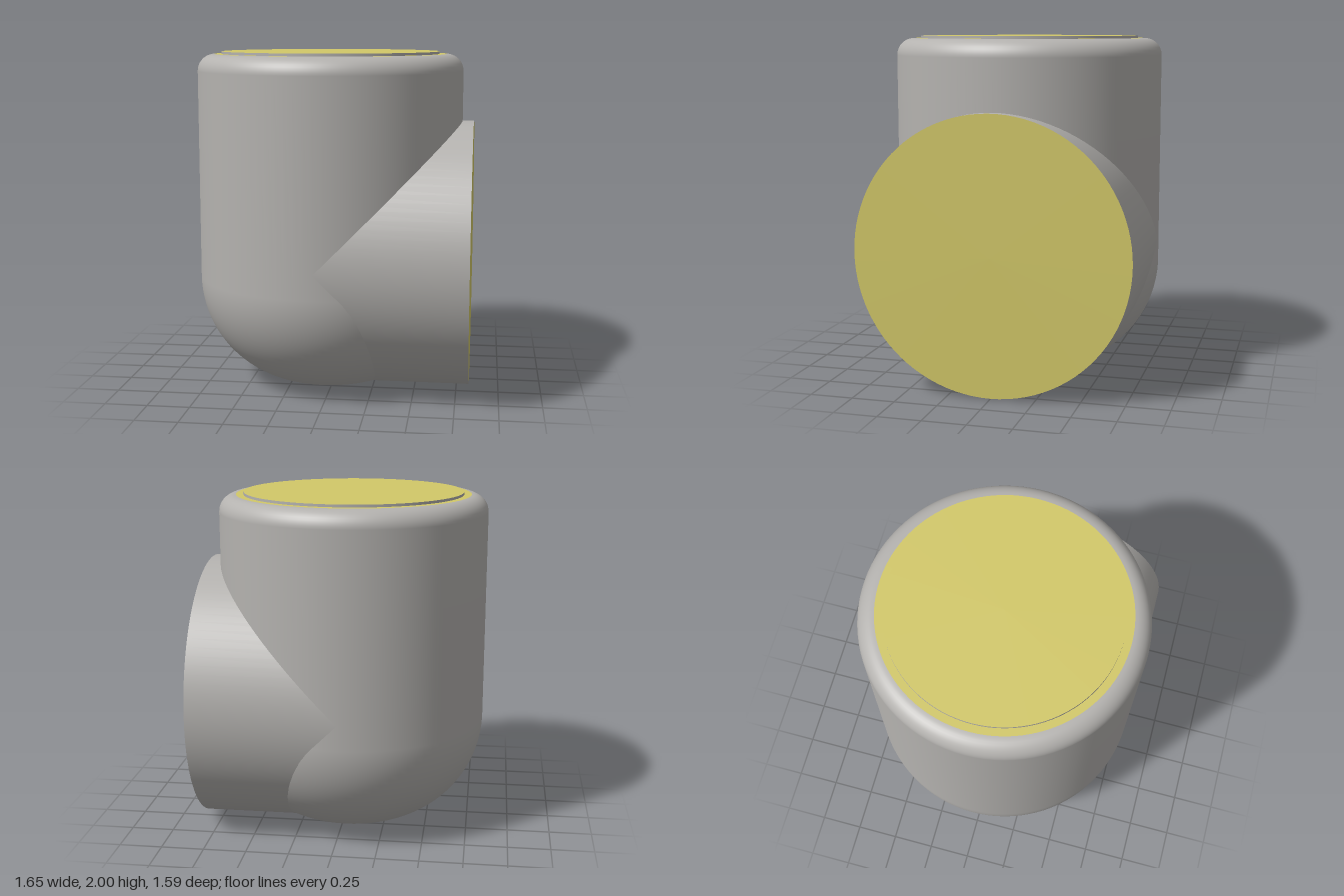
import * as THREE from 'three';

export function createModel() {
  const grey = new THREE.MeshStandardMaterial({ color: 0xb4b2af });
  grey.name = 'grey body';
  const yellow = new THREE.MeshStandardMaterial({ color: 0xd2c868 });
  yellow.name = 'yellow face';

  const group = new THREE.Group();
  const R = 0.793, CX = -0.035, SEG = 96;
  const add = (name, geometry, material, x, y) => {
    const mesh = new THREE.Mesh(geometry, material);
    mesh.name = name;
    mesh.position.set(x, y, 0);
    group.add(mesh);
    return mesh;
  };

  // Upright body: large rounded base, straight wall, small rounded rim
  const profile = [new THREE.Vector2(0, 0)];
  const arc = (r, cy, from, to, steps) => {
    for (let i = 0; i <= steps; i++) {
      const a = from + (to - from) * i / steps;
      profile.push(new THREE.Vector2(R - r + r * Math.cos(a), cy + r * Math.sin(a)));
    }
  };
  arc(0.65, 0.65, -Math.PI / 2, 0, 32);
  arc(0.1, 1.885, 0, Math.PI / 2, 10);
  add('body', new THREE.LatheGeometry(profile, SEG), grey, CX, 0);

  // Flat top face
  add('topFace', new THREE.CircleGeometry(R - 0.1, SEG), yellow, CX, 1.985)
    .rotation.x = -Math.PI / 2;

  // Slightly raised disc: grey rim, yellow top
  add('raisedDisc', new THREE.CylinderGeometry(0.65, 0.65, 0.015, SEG),
    [grey, yellow, yellow], CX, 1.9925);

  // Side branch of the same radius, running to the left
  const length = 0.825 - CX;
  add('sideBranch', new THREE.CylinderGeometry(R, R, length, SEG, 1, true), grey,
    CX + length / 2, 0.797).rotation.z = -Math.PI / 2;
  add('branchFace', new THREE.CircleGeometry(R, SEG), yellow, 0.825, 0.797)
    .rotation.y = Math.PI / 2;

  return group;
}
